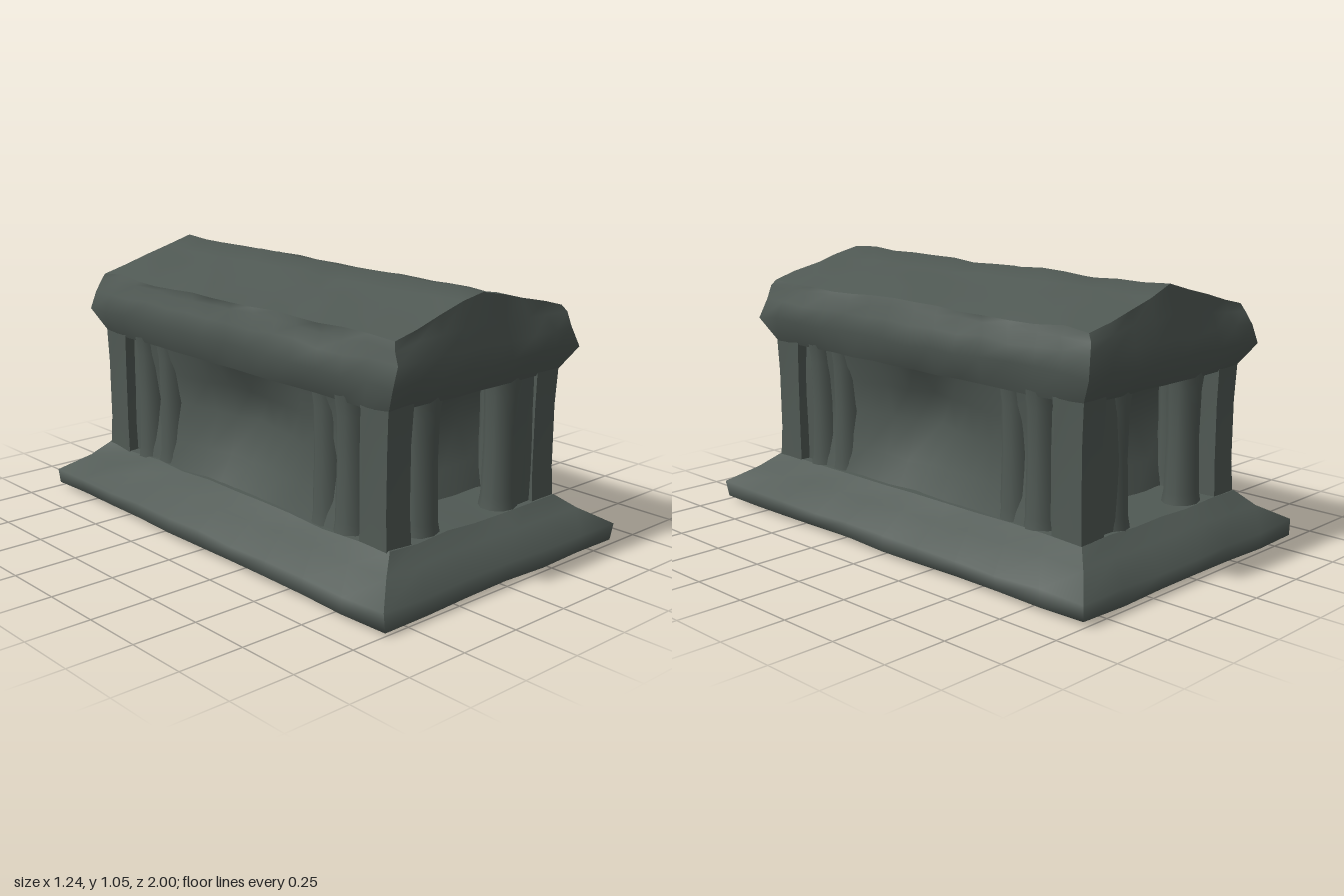
import * as THREE from 'three';

const stone = new THREE.MeshStandardMaterial({ color: 0x505954 });
stone.name = 'weathered grey stone';

// Repeatable weathering offset: the same point always moves the same way
function wear(x, y, z, seed) {
  const s = Math.sin(Math.round(x * 500) * 12.99 + Math.round(y * 500) * 78.23 + Math.round(z * 500) * 37.72 + seed * 5.1) * 4375.85;
  return (s - Math.floor(s)) * 2 - 1;
}

// Subdivided block whose rows follow levels of [y, half width, half depth]
function block(name, levels, nx, nz, amount, rule) {
  const rows = levels.length - 1;
  const g = new THREE.BoxGeometry(2, 1, 2, nx, rows, nz);
  const p = g.attributes.position;
  const v = new THREE.Vector3();
  for (let i = 0; i < p.count; i++) {
    const u = p.getX(i), w = p.getZ(i);
    const row = Math.round((p.getY(i) + 0.5) * rows);
    const [y, hx, hz] = levels[row];
    v.set(u * hx, y, w * hz);
    if (rule) rule(v, u, w, row);
    const { x, y: h, z } = v;
    const k = row === 0 ? 0.3 : 1;
    p.setXYZ(i,
      x + wear(x, h, z, 1) * amount * k,
      Math.max(0, h + wear(x, h, z, 2) * amount * k),
      z + wear(x, h, z, 3) * amount * k);
  }
  g.computeVertexNormals();
  const mesh = new THREE.Mesh(g, stone);
  mesh.name = name;
  return mesh;
}

export function createModel() {
  const model = new THREE.Group();
  model.name = 'temple';

  // Stepped base worn down to a slope
  model.add(block('base', [
    [0.005, 0.57, 0.96], [0.02, 0.61, 0.995], [0.08, 0.614, 0.995],
    [0.15, 0.51, 0.9], [0.2, 0.44, 0.84],
  ], 6, 10, 0.006));

  // Inner chamber, its side and end walls hollowed towards the middle
  const hollow = [0, 0.5, 1, 0.6, 0];
  model.add(block('chamber', [
    [0.18, 0.43, 0.6], [0.3, 0.4, 0.58], [0.45, 0.385, 0.55], [0.58, 0.4, 0.57], [0.72, 0.43, 0.62],
  ], 6, 10, 0.008, (v, u, w, row) => {
    if (Math.abs(u) > 0.99) v.x *= 1 - 0.24 * hollow[row] * Math.max(0, 1 - Math.abs(w) * 1.4);
    if (Math.abs(w) > 0.99) v.z *= 1 - 0.14 * hollow[row] * Math.cos(u * Math.PI / 2);
  }));

  // Entablature and shallow gabled roof
  const top = 4;
  model.add(block('roof', [
    [0.685, 0.437, 0.83], [0.79, 0.482, 0.9], [0.86, 0.462, 0.885], [0.91, 0.437, 0.862], [0.935, 0.432, 0.848],
  ], 8, 14, 0.008, (v, u, w, row) => {
    if (row === top) v.y += 0.108 * (1 - Math.abs(u));
    if (row === top - 1) v.y += 0.03 * (1 - Math.abs(u));
  }));

  // Columns flaring into the base and the entablature
  const columns = new THREE.Group();
  columns.name = 'columns';
  model.add(columns);
  const profile = [[0.078, 0.17], [0.066, 0.24], [0.06, 0.45], [0.064, 0.63], [0.078, 0.73]]
    .map(([r, y]) => new THREE.Vector2(r, y));
  const shaft = new THREE.LatheGeometry(profile, 10);
  const addColumn = (name, x, z) => {
    const c = new THREE.Mesh(shaft, stone);
    c.name = name;
    c.position.set(x, 0, z);
    columns.add(c);
  };
  const addWall = (name, hx, hz, x, z) => {
    const wall = block(name, [[0.18, hx, hz], [0.45, hx, hz], [0.71, hx, hz]], 2, 2, 0.006);
    wall.position.set(x, 0, z);
    columns.add(wall);
  };

  for (const sz of [1, -1]) {
    for (const sx of [1, -1]) {
      // Squared corner pier
      const pier = block('cornerPier', [
        [0.18, 0.06, 0.07], [0.32, 0.055, 0.063], [0.56, 0.055, 0.063], [0.71, 0.06, 0.07],
      ], 2, 2, 0.003);
      pier.position.set(sx * 0.383, 0, sz * 0.768);
      columns.add(pier);
      addColumn('porchColumn', sx * 0.21, sz * 0.765);
      addColumn('sideColumn', sx * 0.375, sz * 0.6);
      addColumn('sideColumn', sx * 0.365, sz * 0.47);
      // Recessed wall behind the side columns
      addWall('sideWall', 0.03, 0.1, sx * 0.37, sz * 0.66);
    }
    // Left bay of each porch is closed, the right bay is a narrow niche
    addWall('porchWall', 0.08, 0.03, 0.29, sz * 0.79);
    addWall('nicheWall', 0.05, 0.025, -0.3, sz * 0.7);
  }
  return model;
}
